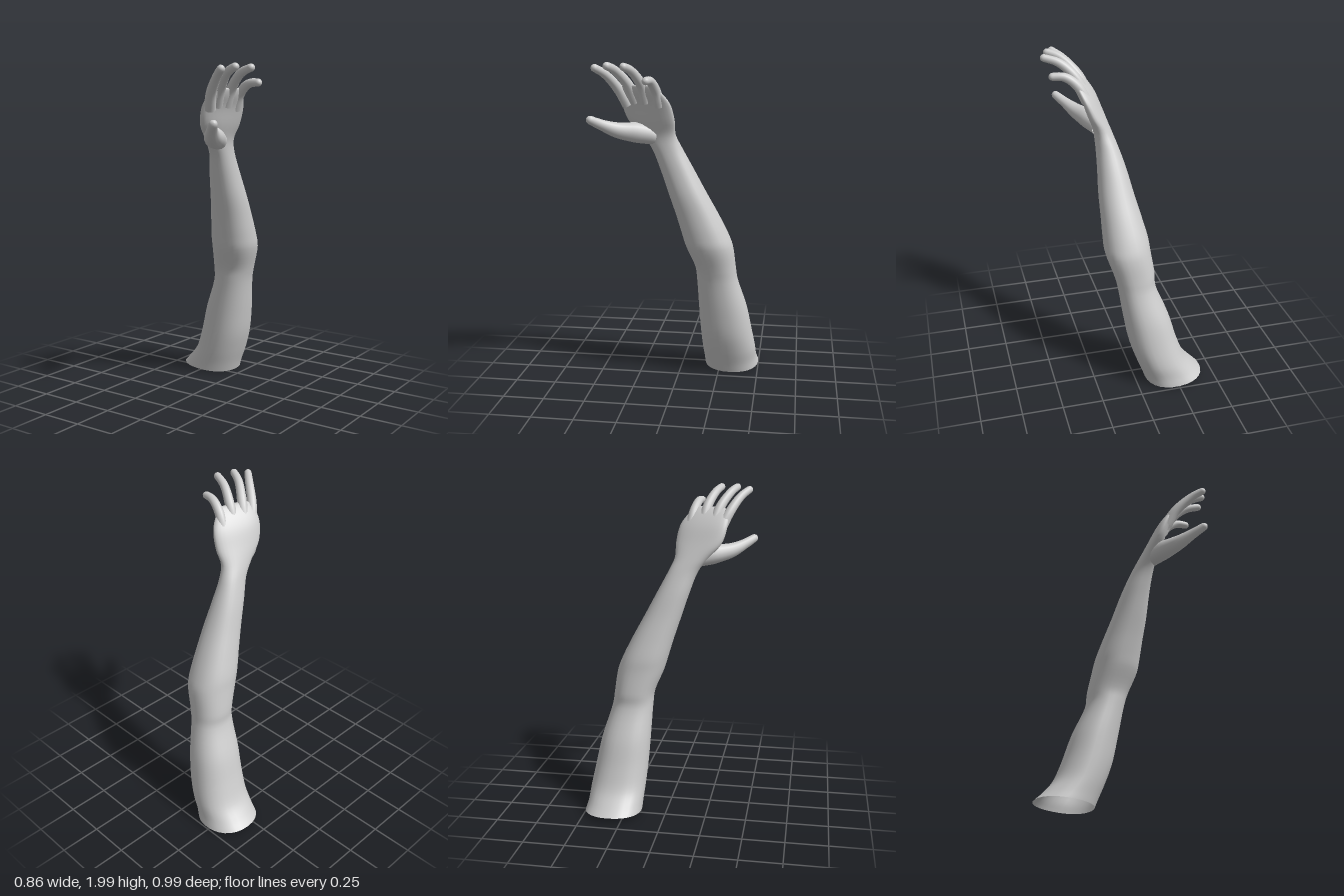
import * as THREE from 'three';

const material = new THREE.MeshStandardMaterial({ color: 0xcccccc, side: THREE.DoubleSide });

// Joins rings of equal length into one smooth skin.
function skin(rings, name) {
  const n = rings[0].length, index = [];
  for (let i = 0; i < rings.length - 1; i++) {
    for (let j = 0; j < n; j++) {
      const k = (j + 1) % n, a = i * n, b = a + n;
      index.push(a + j, b + j, a + k, a + k, b + j, b + k);
    }
  }
  const geometry = new THREE.BufferGeometry().setFromPoints(rings.flat());
  geometry.setIndex(index);
  geometry.computeVertexNormals();
  const mesh = new THREE.Mesh(geometry, material);
  mesh.name = name;
  return mesh;
}

// Level cross-section; shear skews x along z, slope tips the ring along x.
function section([y, cx, cz, rx, rz, shear = 0, slope = 0], sides = 28) {
  const soft = (v) => Math.sign(v) * Math.abs(v) ** 0.9;
  return Array.from({ length: sides }, (_, j) => {
    const a = (j / sides) * Math.PI * 2;
    const dz = rz * soft(Math.sin(a));
    const dx = rx * soft(Math.cos(a)) + shear * dz;
    return new THREE.Vector3(cx + dx, y + slope * dx, cz + dz);
  });
}

// Smooth loft: a curve runs through matching points of all sections.
function loft(sections, steps, name) {
  const rings = sections.map((s) => section(s));
  const lines = rings[0].map((_, j) => new THREE.CatmullRomCurve3(rings.map((r) => r[j])));
  const rows = Array.from({ length: steps + 1 }, (_, i) => lines.map((l) => l.getPoint(i / steps)));
  return skin(rows, name);
}

// Tapered tube with a round tip.
function digit(name, path, radii, steps = 24, sides = 14) {
  const curve = new THREE.CatmullRomCurve3(path.map((p) => new THREE.Vector3(...p)));
  const frames = curve.computeFrenetFrames(200);
  const tipStart = 1 - radii.at(-1) / curve.getLength();
  const rings = [];
  for (let i = 0; i <= steps; i++) {
    const t = 1 - (1 - i / steps) ** 1.8;
    const f = t * (radii.length - 1), k = Math.min(Math.floor(f), radii.length - 2);
    let r = THREE.MathUtils.lerp(radii[k], radii[k + 1], f - k);
    if (t > tipStart) r *= Math.sqrt(Math.max(0.001, 1 - ((t - tipStart) / (1 - tipStart)) ** 2));
    const c = curve.getPointAt(t), m = Math.round(t * 200);
    rings.push(Array.from({ length: sides }, (_, j) => {
      const a = (j / sides) * Math.PI * 2;
      return c.clone()
        .addScaledVector(frames.normals[m], r * Math.cos(a))
        .addScaledVector(frames.binormals[m], -r * Math.sin(a));
    }));
  }
  return skin(rings, name);
}

export function createModel() {
  const model = new THREE.Group();
  model.name = 'arm';

  // Upper arm, elbow, forearm, wrist and palm: [y, x, z, halfX, halfZ, shear, slope]
  model.add(loft([
    [0.02, -0.248, -0.325, 0.182, 0.175, 0, -0.08],
    [0.07, -0.215, -0.318, 0.168, 0.17, 0, -0.06],
    [0.155, -0.165, -0.311, 0.155, 0.17],
    [0.28, -0.12, -0.296, 0.15, 0.164],
    [0.45, -0.08, -0.275, 0.14, 0.152],
    [0.65, -0.027, -0.242, 0.116, 0.127],
    [0.73, -0.015, -0.232, 0.125, 0.126],
    [0.87, 0.016, -0.195, 0.138, 0.145],
    [0.95, 0.023, -0.168, 0.136, 0.142],
    [1.07, 0.037, -0.121, 0.122, 0.13],
    [1.2, 0.053, -0.065, 0.106, 0.116],
    [1.35, 0.066, -0.001, 0.085, 0.101],
    [1.48, 0.084, 0.058, 0.064, 0.092],
    [1.56, 0.1, 0.105, 0.054, 0.105, -0.1],
    [1.65, 0.13, 0.145, 0.05, 0.145, -0.2],
    [1.75, 0.165, 0.17, 0.041, 0.15, -0.25],
    [1.82, 0.202, 0.195, 0.031, 0.125, -0.25],
    [1.855, 0.225, 0.202, 0.015, 0.095, -0.25],
    [1.86, 0.226, 0.202, 0.001, 0.01, -0.25],
  ], 80, 'armAndPalm'));

  // Fingers fan out and curl over the palm side
  const finger = [0.034, 0.03, 0.026, 0.022];
  model.add(
    digit('indexFinger', [[0.15, 1.74, 0.28], [0.19, 1.83, 0.325], [0.27, 1.92, 0.385], [0.345, 1.968, 0.445]], finger),
    digit('middleFinger', [[0.165, 1.76, 0.23], [0.215, 1.86, 0.265], [0.3, 1.945, 0.322], [0.39, 1.978, 0.362]], finger),
    digit('ringFinger', [[0.185, 1.76, 0.165], [0.235, 1.86, 0.183], [0.32, 1.94, 0.222], [0.427, 1.975, 0.257]], finger),
    digit('littleFinger', [[0.19, 1.74, 0.085], [0.238, 1.83, 0.1], [0.31, 1.885, 0.118], [0.402, 1.89, 0.135]], finger),
  );

  // Thumb with its fleshy base
  model.add(digit('thumb',
    [[0.105, 1.555, 0.13], [0.145, 1.575, 0.225], [0.205, 1.595, 0.335], [0.26, 1.63, 0.415], [0.32, 1.672, 0.488]],
    [0.055, 0.062, 0.048, 0.032, 0.023]));

  return model;
}
